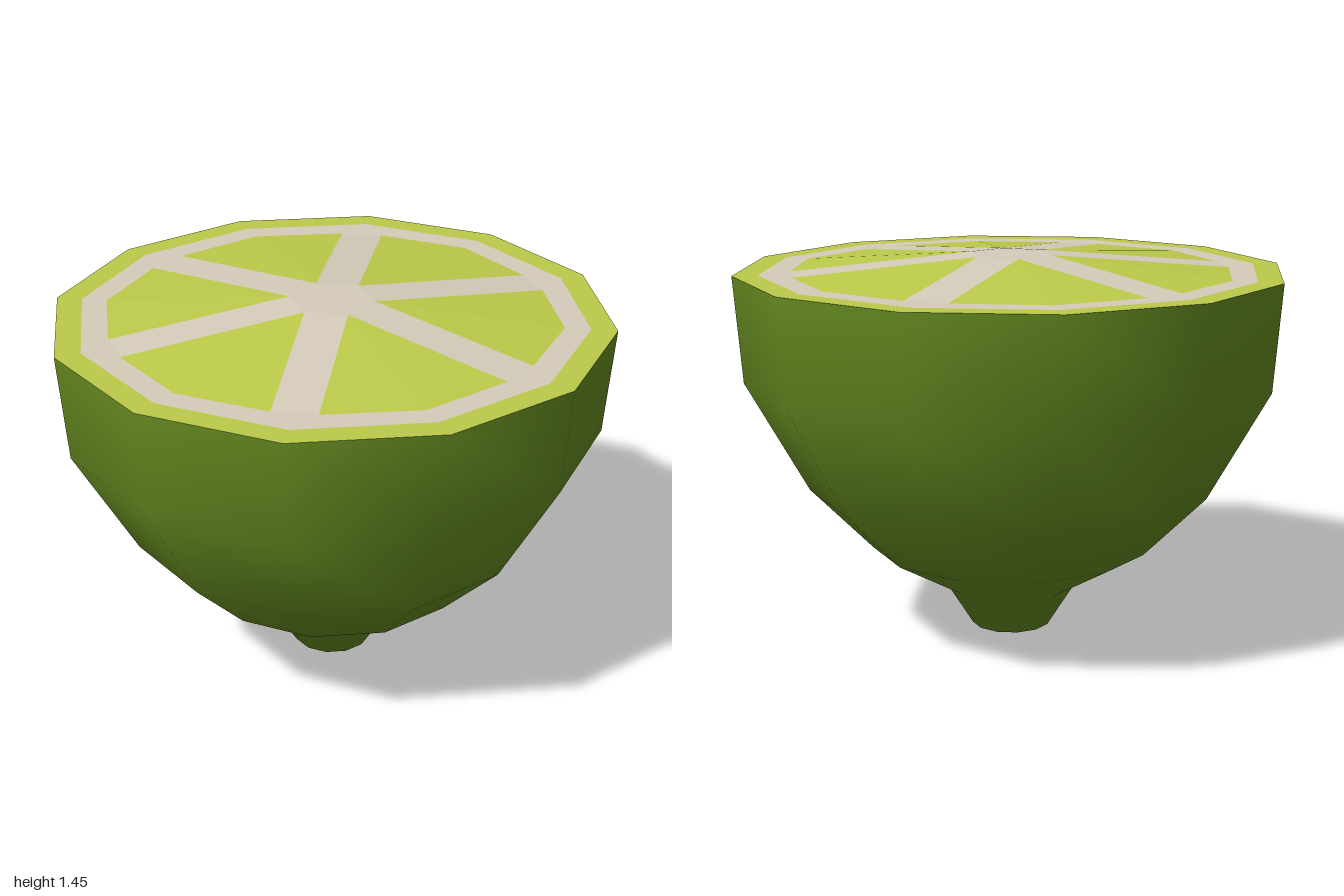
import * as THREE from 'three';

const RIM_Y = 1.387, TOP_Y = 1.445;

// Point at an angle in degrees, measured from +z towards +x
function polar(r, deg, y) {
  const a = THREE.MathUtils.degToRad(deg);
  return new THREE.Vector3(r * Math.sin(a), y, r * Math.cos(a));
}

// Flat-shaded mesh from convex polygons, each split into a fan
function polygonMesh(name, polygons, material) {
  const points = [];
  for (const p of polygons) {
    for (let i = 1; i < p.length - 1; i++) points.push(p[0], p[i], p[i + 1]);
  }
  const geometry = new THREE.BufferGeometry().setFromPoints(points);
  geometry.computeVertexNormals();
  const mesh = new THREE.Mesh(geometry, material);
  mesh.name = name;
  return mesh;
}

export function createModel() {
  const skinGreen = new THREE.MeshStandardMaterial({ color: 0x668c20 });
  skinGreen.name = 'skinGreen';
  const fleshGreen = new THREE.MeshStandardMaterial({ color: 0xbccb4a });
  fleshGreen.name = 'fleshGreen';
  const pithCream = new THREE.MeshStandardMaterial({ color: 0xd5ccba });
  pithCream.name = 'pithCream';

  const group = new THREE.Group();
  group.name = 'halfLime';

  // Smooth skin with a pointed tip at the bottom
  const profile = [
    [0, 0], [0.145, 0.05], [0.243, 0.207], [0.515, 0.362],
    [0.745, 0.595], [0.97, 1.0], [1, RIM_Y],
  ].map(([x, y]) => new THREE.Vector2(x, y));
  const skin = new THREE.Mesh(new THREE.LatheGeometry(profile, 12), skinGreen);
  skin.name = 'skin';
  group.add(skin);

  // Cut face: rim, pith ring with spokes, and six flesh segments
  const rimR = (k) => polar(1, k * 30, RIM_Y);
  const pithR = (k) => polar(0.908, k * 30, RIM_Y);
  const apex = (i) => polar(0.153, i * 60 + 30, TOP_Y);
  const middle = (i) => polar(0.817, i * 60 + 30, RIM_Y);
  const corner = (i, side) => polar(0.796, i * 60 + 30 + side * 24.4, RIM_Y);

  const rim = [], pith = [], core = [];
  for (let k = 0; k < 12; k++) {
    rim.push([pithR(k), rimR(k), rimR(k + 1), pithR(k + 1)]);
  }
  for (let i = 0; i < 6; i++) {
    const a = corner(i, -1), m = middle(i), b = corner(i, 1), next = corner(i + 1, -1);
    const k = i * 2;
    group.add(polygonMesh('fleshSegment' + (i + 1), [[apex(i), a, m, b]], fleshGreen));
    // Ring pieces outside the segment
    pith.push([a, pithR(k), pithR(k + 1), m]);
    pith.push([m, pithR(k + 1), pithR(k + 2), b]);
    pith.push([b, pithR(k + 2), next]);
    // Spoke between this segment and the next
    pith.push([apex(i), b, next, apex(i + 1)]);
    core.push(apex(i));
  }
  pith.push(core);
  group.add(polygonMesh('rim', rim, fleshGreen));
  group.add(polygonMesh('pith', pith, pithCream));

  return group;
}
